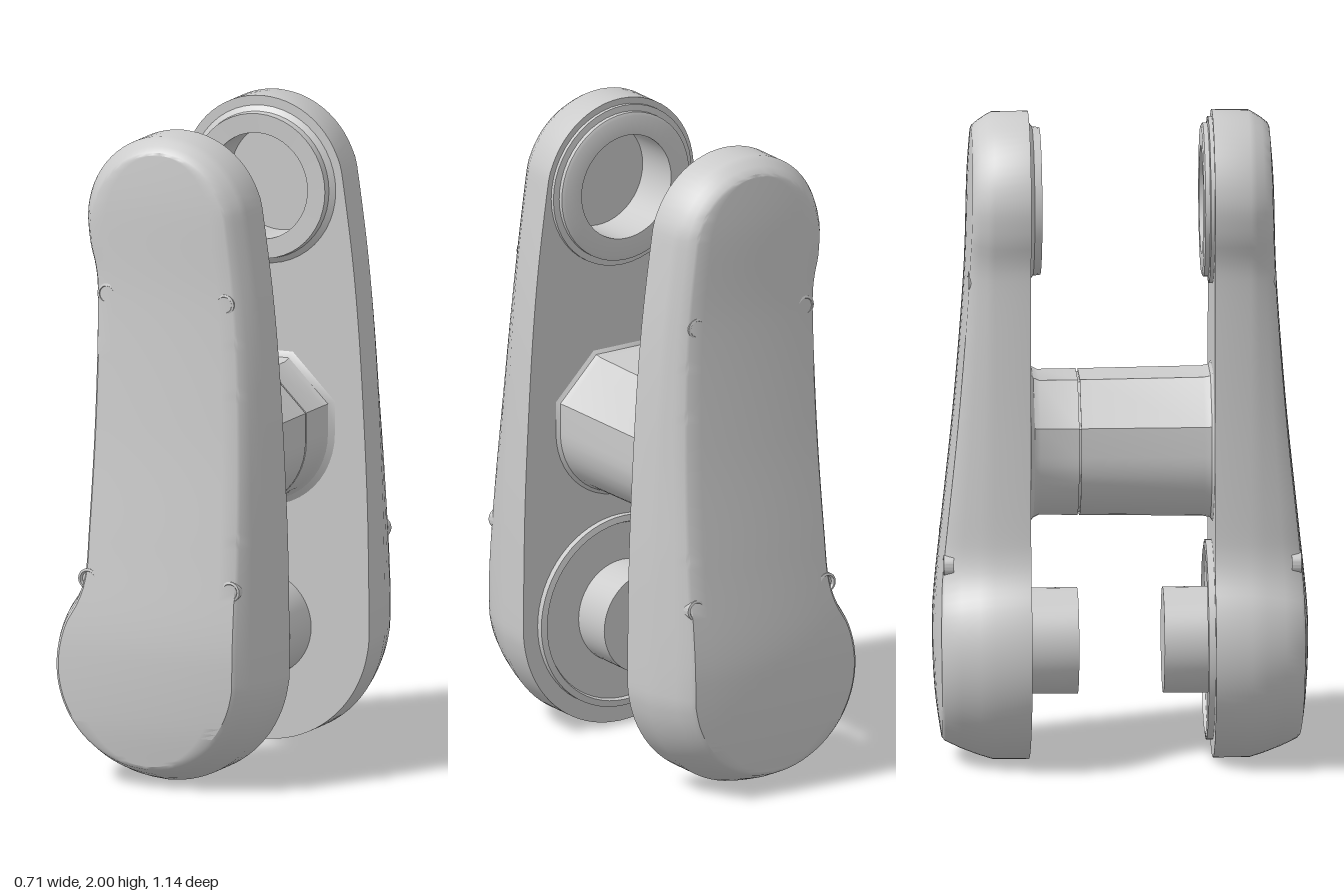
import * as THREE from 'three';
import { toCreasedNormals } from 'three/addons/utils/BufferGeometryUtils.js';

const mat = new THREE.MeshStandardMaterial({ color: 0xcccccc, side: THREE.DoubleSide });
const V2 = (x, y) => new THREE.Vector2(x, y);
const INNER = 0.28, SHOULDER = 0.39;
const TOP_Y = 1.725, PIN_Y = 0.36, SOCKET_R = 0.165;

function makeMesh(name, geometry, crease = 0.6) {
  const mesh = new THREE.Mesh(toCreasedNormals(geometry, crease), mat);
  mesh.name = name;
  return mesh;
}

function indexed(positions, index) {
  const g = new THREE.BufferGeometry();
  g.setAttribute('position', new THREE.Float32BufferAttribute(positions, 3));
  g.setIndex(index);
  return g;
}

// Points on an arc, angles in degrees
function arc(cy, r, from, to, n = 9) {
  return Array.from({ length: n + 1 }, (_, i) => {
    const a = THREE.MathUtils.degToRad(from + (to - from) * i / n);
    return V2(r * Math.cos(a), cy + r * Math.sin(a));
  });
}

// Arm outline: right and left halves, each from bottom to top
const HALF = 90, N = HALF * 2;
function armOutline() {
  const right = [...arc(0.357, 0.357, -90, 0),
    V2(0.355, 0.6), V2(0.35, 0.8), V2(0.338, 1.05), V2(0.322, 1.3), V2(0.3, 1.53),
    ...arc(1.73, 0.27, 10, 90)];
  const left = [...arc(0.357, 0.357, 270, 141, 12),
    V2(-0.254, 0.64), V2(-0.242, 0.73), V2(-0.234, 1.0), V2(-0.231, 1.25), V2(-0.232, 1.5),
    V2(-0.24, 1.58), V2(-0.26, 1.65), ...arc(1.73, 0.27, 180, 90)];
  const r = new THREE.SplineCurve(right).getSpacedPoints(HALF);
  const l = new THREE.SplineCurve(left).getSpacedPoints(HALF);
  return [...r, ...l.slice(1, -1).reverse()];
}

// Height of the crowned outer face
const crest = new THREE.SplineCurve([V2(0, 0.533), V2(0.07, 0.545), V2(0.2, 0.563), V2(0.36, 0.571),
  V2(0.5, 0.567), V2(0.75, 0.541), V2(1.1, 0.505), V2(1.5, 0.475), V2(1.8, 0.466), V2(2, 0.45)]);
const crestTable = crest.getPoints(120);
function faceZ(x, y) {
  const i = Math.max(1, crestTable.findIndex((p) => p.y !== undefined && p.x >= y));
  const a = crestTable[i - 1], b = crestTable[i];
  return THREE.MathUtils.lerp(a.y, b.y, (y - a.x) / (b.x - a.x)) - 0.2 * x * x;
}

// Arm cover: straight wall, rounded shoulder, crowned face; s = +1 front, -1 back
function armCover(outline, s) {
  const pos = [], idx = [];
  const quad = (a, b, c, d) => idx.push(...(s > 0 ? [a, b, c, a, c, d] : [a, c, b, a, d, c]));
  const inset = outline.map((p, i) => {
    const t = outline[(i + 1) % N].clone().sub(outline[(i + N - 1) % N]).normalize();
    let w = THREE.MathUtils.lerp(0.068, 0.048, p.y / 2);
    if (p.x < 0) w *= 1 - 0.3 * THREE.MathUtils.smoothstep(p.y, 0.4, 0.8) * (1 - THREE.MathUtils.smoothstep(p.y, 1.5, 1.9));
    return V2(-t.y * w, t.x * w);
  });
  const levels = [[0, -1], [0, 0], [0.2, 0.3], [0.5, 0.65], [0.84, 0.95], [1, 1]];
  let rim = [];
  levels.forEach(([f, h], k) => {
    rim = outline.map((p, i) => p.clone().addScaledVector(inset[i], f));
    rim.forEach((p, i) => {
      const z = h < 0 ? INNER : THREE.MathUtils.lerp(SHOULDER, faceZ(p.x, p.y), h);
      pos.push(p.x, p.y, s * z);
      if (k) {
        const a = (k - 1) * N, j = (i + 1) % N;
        quad(a + i, a + j, a + N + j, a + N + i);
      }
    });
  });
  // Face strips between the left and right rims
  const cols = 10, base = pos.length / 3;
  for (let i = 0; i <= HALF; i++) {
    for (let c = 0; c <= cols; c++) {
      const p = rim[(N - i) % N].clone().lerp(rim[i], c / cols);
      pos.push(p.x, p.y, s * faceZ(p.x, p.y));
      if (i && c) {
        const d = base + i * (cols + 1) + c;
        quad(d - cols - 2, d - cols - 1, d, d - 1);
      }
    }
  }
  return makeMesh('armCover', indexed(pos, idx));
}

// Flat inner wall with the socket opening
function innerWall(outline, s) {
  const shape = new THREE.Shape(outline);
  shape.holes.push(new THREE.Path().absarc(0, TOP_Y, SOCKET_R, 0, Math.PI * 2, true));
  const wall = makeMesh('innerWall', new THREE.ShapeGeometry(shape, 24));
  wall.position.z = s * INNER;
  return wall;
}

// Turned part; profile is [radius, height], dir is the z direction of its axis
function turned(name, profile, x, y, z, dir, segments = 48) {
  const geo = new THREE.LatheGeometry(profile.map(([r, h]) => V2(r, h)), segments);
  const mesh = makeMesh(name, geo);
  mesh.rotation.x = dir * Math.PI / 2;
  mesh.position.set(x, y, z);
  return mesh;
}

// Axle: rounded below, faceted above, flared at both ends
function axle() {
  const section = arc(0, 0.22, 180, 360, 24);
  const facetR = 0.22 / Math.cos(Math.PI / 8);
  section.push(...arc(0, facetR, 22.5, 157.5, 3));
  const stations = [[0.28, 1.08], [0.272, 1.03], [0.25, 1.01], [-0.126, 0.985], [-0.126, 0.95],
    [-0.132, 0.95], [-0.132, 0.985], [-0.25, 0.98], [-0.268, 1.02], [-0.28, 1.1]];
  const n = section.length, pos = [], idx = [];
  stations.forEach(([z, f], k) => section.forEach((p, i) => {
    pos.push(p.x * f, 0.97 + p.y * f, z);
    if (k) {
      const a = (k - 1) * n + i, b = (k - 1) * n + (i + 1) % n;
      idx.push(a, a + n, b, b, a + n, b + n);
    }
  }));
  return makeMesh('axle', indexed(pos, idx), 0.5);
}

export function createModel() {
  const model = new THREE.Group();
  const outline = armOutline();
  for (const s of [1, -1]) {
    const arm = new THREE.Group();
    arm.name = s > 0 ? 'frontArm' : 'backArm';
    arm.add(armCover(outline, s), innerWall(outline, s));

    // Socket with raised collar at the top
    const collar = s > 0 ? [[0.255, 0], [0.255, 0.012], [0.235, 0.014], [0.235, 0.028], [0.225, 0.033]]
      : [[0.245, 0], [0.228, 0.012], [0.225, 0.035]];
    arm.add(turned('socket', [...collar, [SOCKET_R, 0.033], [SOCKET_R, -0.12], [0, -0.12]],
      0, TOP_Y, s * INNER, -s));

    // Pin at the bottom, with a rimmed washer on the front arm
    arm.add(turned('pin', [[0.162, 0], [0.162, 0.15], [0, 0.15]], 0, PIN_Y, s * INNER, -s));
    if (s > 0) {
      arm.add(turned('washer', [[0.305, 0], [0.305, 0.02], [0.285, 0.023], [0.28, 0.012], [0.16, 0.012]],
        0, PIN_Y, INNER, -1, 64));
    }

    // Countersunk screws on the outer face
    for (const [x, y] of [[-0.17, 1.51], [0.225, 1.51], [-0.198, 0.635], [0.278, 0.635]]) {
      arm.add(turned('screw', [[0.032, -0.03], [0.032, 0], [0.025, 0.002], [0.02, -0.006], [0.008, -0.004], [0, -0.008]],
        x, y, s * (faceZ(x, y) - 0.001), s, 20));
    }
    model.add(arm);
  }
  model.add(axle());
  return model;
}
